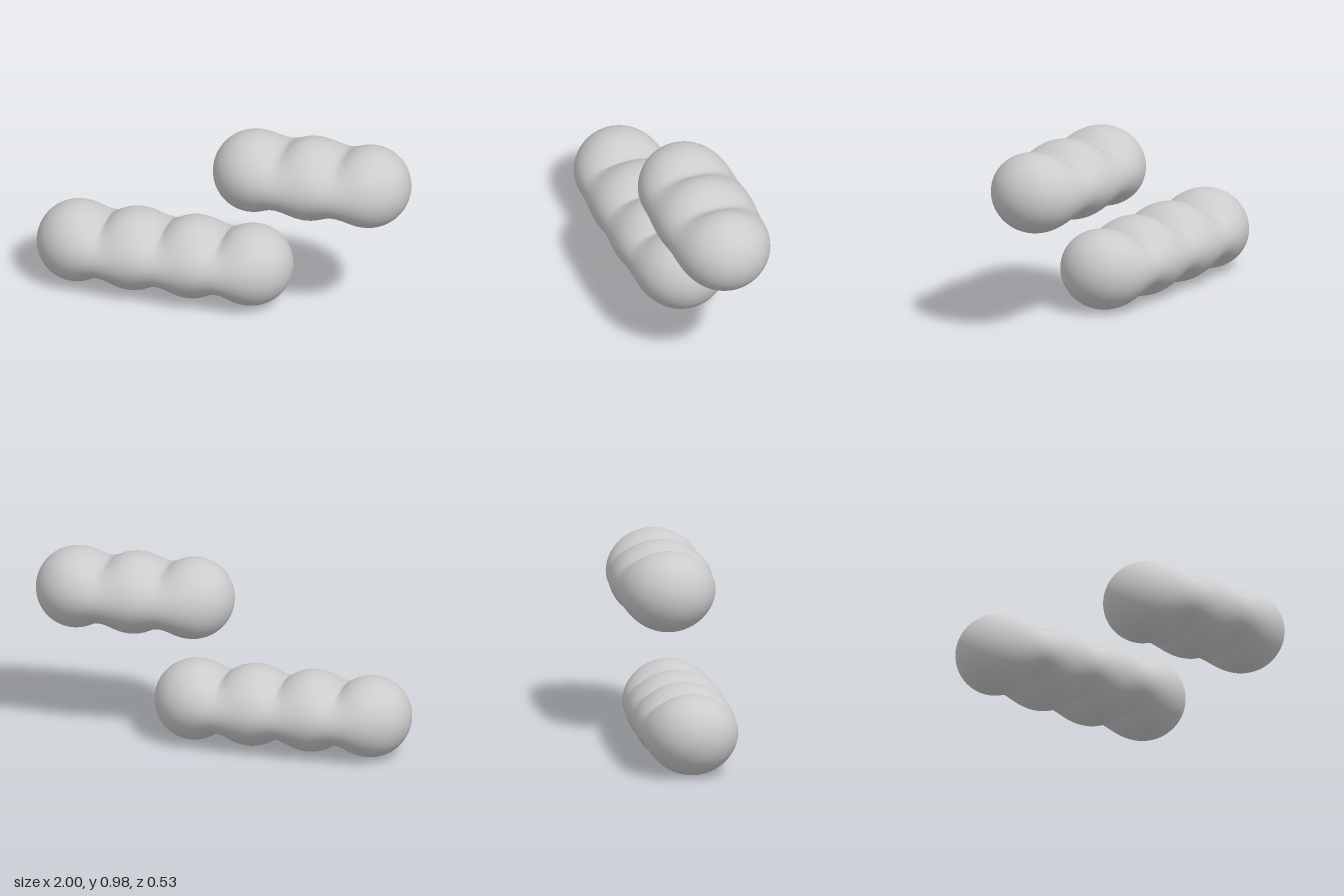
import * as THREE from 'three';

const R = 0.21, GAP = 0.315, HALF = GAP / 2;

// Squared half-height of a row of round lobes at x (first lobe at 0);
// negative past the ends. fillet rounds the valleys between the lobes.
function heightSquared(x, lobes, fillet) {
  const i = Math.min(lobes - 1, Math.max(0, Math.round(x / GAP)));
  const d = x - i * GAP;
  const end = (i === 0 && d < 0) || (i === lobes - 1 && d > 0);
  const e = HALF - Math.abs(d);
  if (!end && fillet > 0 && e < HALF * fillet / (R + fillet)) {
    const top = Math.sqrt((R + fillet) ** 2 - HALF ** 2);
    return (top - Math.sqrt(fillet * fillet - e * e)) ** 2;
  }
  return R * R - d * d;
}

// Inflates the outline like a stretched membrane.
// Returns a function giving the membrane height divided by (h^2 - y^2).
function inflate(lobes, fillet) {
  const s = 0.0075, x0 = -R - 3 * s, y0 = -R - 3 * s;
  const nx = Math.ceil(((lobes - 1) * GAP + 2 * R) / s) + 7;
  const ny = Math.ceil(2 * R / s) + 7;
  const phi = new Float64Array(nx * ny), u = new Float64Array(nx * ny);
  for (let i = 0; i < nx; i++) {
    const h2 = heightSquared(x0 + i * s, lobes, fillet);
    for (let j = 0; j < ny; j++) phi[i * ny + j] = h2 - (y0 + j * s) ** 2;
  }
  const steps = [1, -1, ny, -ny];
  for (let pass = 0; pass < 500; pass++) {
    for (let k = ny; k < nx * ny - ny; k++) {
      if (phi[k] <= 1e-7) continue;
      let sum = 4 * s * s, diagonal = 4;
      for (const n of steps) {
        if (phi[k + n] > 1e-7) sum += u[k + n];
        else diagonal -= phi[k + n] / phi[k];
      }
      u[k] += 1.8 * (sum / diagonal - u[k]);
    }
  }
  // ratio inside the outline, spread a few cells outwards
  let q = u.map((v, k) => (phi[k] > 1e-7 ? v / phi[k] : 0));
  for (let pass = 0; pass < 4; pass++) {
    const next = q.slice();
    for (let k = ny; k < nx * ny - ny; k++) {
      if (q[k] > 0) continue;
      const near = steps.map((n) => q[k + n]).filter((v) => v > 0);
      if (near.length) next[k] = near.reduce((a, b) => a + b) / near.length;
    }
    q = next;
  }
  return (x, y) => {
    const fx = (x - x0) / s, fy = (y - y0) / s;
    const i = Math.floor(fx), j = Math.floor(fy), a = fx - i, b = fy - j, k = i * ny + j;
    return (q[k] * (1 - b) + q[k + 1] * b) * (1 - a) + (q[k + ny] * (1 - b) + q[k + ny + 1] * b) * a;
  };
}

function cloudGeometry(lobes, fillet, depth) {
  const ratio = inflate(lobes, fillet);
  const length = (lobes - 1) * GAP, cap = 24, per = 30, around = 80;

  // stations along the length: round cap, even steps, round cap
  const xs = [];
  for (let i = 0; i < cap; i++) xs.push(-R * Math.cos(i / cap * Math.PI / 2));
  for (let i = 0; i <= (lobes - 1) * per; i++) xs.push(i * GAP / per);
  for (let i = cap - 1; i >= 0; i--) xs.push(length + R * Math.cos(i / cap * Math.PI / 2));

  const positions = [], index = [];
  let deepest = 0;
  xs.forEach((x, i) => {
    const h = Math.sqrt(Math.max(1e-8, heightSquared(x, lobes, fillet)));
    for (let j = 0; j < around; j++) {
      const t = j / around * Math.PI * 2;
      const y = h * Math.sin(t);
      const z = h * Math.cos(t) * Math.sqrt(ratio(x, y));
      deepest = Math.max(deepest, z);
      positions.push(x - length / 2, y, z);
      if (i === 0) continue;
      const n = (j + 1) % around, p = (i - 1) * around, c = i * around;
      index.push(p + j, c + j, c + n, p + j, c + n, p + n);
    }
  });
  const geometry = new THREE.BufferGeometry();
  geometry.setAttribute('position', new THREE.Float32BufferAttribute(positions, 3));
  geometry.setIndex(index);
  geometry.scale(1, 1, depth / deepest);
  geometry.computeVertexNormals();
  return geometry;
}

export function createModel() {
  const group = new THREE.Group();
  const material = new THREE.MeshStandardMaterial({ color: 0xcccccc });
  const add = (name, geometry, x, y) => {
    const mesh = new THREE.Mesh(geometry, material);
    mesh.name = name;
    mesh.position.set(x, y, 0);
    group.add(mesh);
  };
  // four lobes with sharp valleys, three lobes with soft valleys
  add('lowerCloud', cloudGeometry(4, 0, 0.262), -0.3175, 0.212);
  add('upperCloud', cloudGeometry(3, 0.05, 0.267), 0.475, 0.774);
  return group;
}
